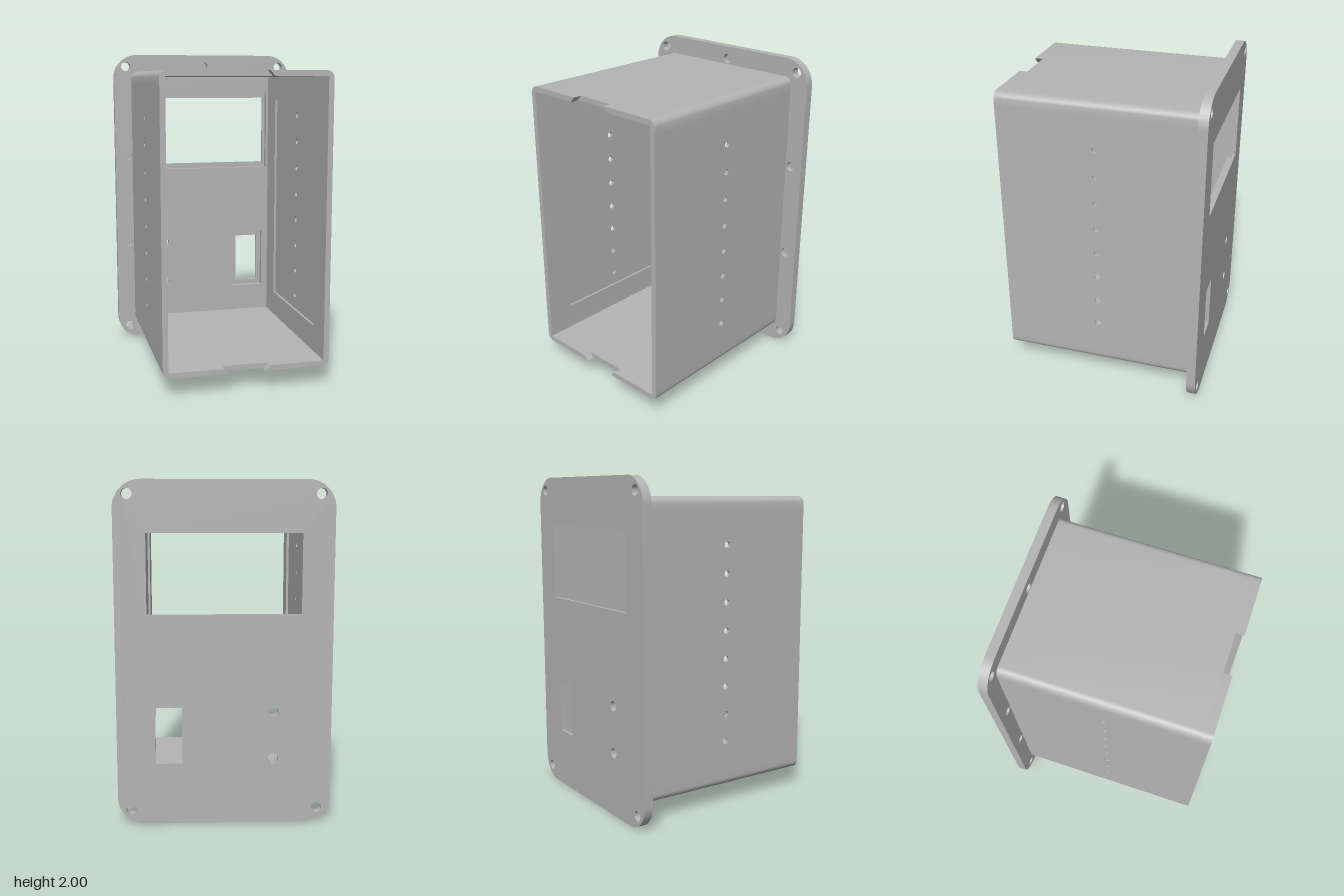
import * as THREE from 'three';
import { toCreasedNormals } from 'three/addons/utils/BufferGeometryUtils.js';

const BACK = -0.63, SEAT = -0.575, FRONT = 0.63;   // plate back, plate front, open rim
const HALF_W = 0.508, WALL = 0.033, BOTTOM = 0.12, TOP = 1.885;
const CORNER = 0.045, STRIP = 0.08;                // corner radius, height of the corner strips

const plastic = new THREE.MeshStandardMaterial({ color: 0xb4b4b4 });
plastic.name = 'grey plastic';

function rect(Type, x0, y0, x1, y1) {
  const p = new Type();
  p.moveTo(x0, y0).lineTo(x1, y0).lineTo(x1, y1).lineTo(x0, y1).closePath();
  return p;
}

function circle(x, y, r) {
  const p = new THREE.Path();
  p.absarc(x, y, r, 0, Math.PI * 2, true);
  return p;
}

function extrude(shape, depth) {
  const geo = new THREE.ExtrudeGeometry(shape, { depth, bevelEnabled: false, curveSegments: 12 });
  return toCreasedNormals(geo, 0.6);
}

function addMesh(group, name, geo) {
  const mesh = new THREE.Mesh(geo, plastic);
  mesh.name = name;
  group.add(mesh);
}

// One layer of the mounting plate: rounded rectangle with the given holes
function plateLayer(holes, z0, z1) {
  const w = 0.625, h = 2, r = 0.16, s = new THREE.Shape();
  s.absarc(w - r, r, r, -Math.PI / 2, 0);
  s.absarc(w - r, h - r, r, 0, Math.PI / 2);
  s.absarc(-w + r, h - r, r, Math.PI / 2, Math.PI);
  s.absarc(-w + r, r, r, Math.PI, Math.PI * 1.5);
  s.closePath();
  s.holes.push(...holes);
  return extrude(s, z1 - z0).translate(0, 0, z0);
}

// Half of the top or bottom wall with its rounded corner; the inner end can be slanted
function wallHalf(sx, top, endOuter, endInner, z0, z1) {
  const pts = [[endOuter, 0]];
  for (let i = 0; i <= 8; i++) {
    const a = (i / 8) * Math.PI / 2;
    pts.push([HALF_W - CORNER + CORNER * Math.sin(a), CORNER - CORNER * Math.cos(a)]);
  }
  pts.push([HALF_W, STRIP], [HALF_W - WALL, STRIP], [HALF_W - WALL, WALL], [endInner, WALL]);
  const shape = new THREE.Shape(pts.map(([x, d]) =>
    new THREE.Vector2(sx * x, top ? TOP - d : BOTTOM + d)));
  return extrude(shape, z1 - z0).translate(0, 0, z0);
}

// One layer of a side wall, drawn in z and y and extruded along x
function sideLayer(x0, x1, recessed) {
  const shape = rect(THREE.Shape, SEAT, BOTTOM + STRIP, FRONT, TOP - STRIP);
  if (recessed) {
    shape.holes.push(rect(THREE.Path, -0.4, 0.315, 0.45, 1.695));
  } else {
    for (let i = 0; i < 8; i++) shape.holes.push(circle(0.03, 0.405 + i * 1.2 / 7, 0.019));
  }
  return extrude(shape, x1 - x0).rotateY(-Math.PI / 2).translate(x1, 0, 0);
}

export function createModel() {
  const model = new THREE.Group();
  model.name = 'enclosure';

  // Mounting plate: outer layer with openings, inner layer with wider recesses and blind holes
  const plate = new THREE.Group();
  plate.name = 'mountingPlate';
  model.add(plate);
  const through = () => {
    const list = [circle(-0.285, 0.675, 0.031), circle(-0.285, 0.39, 0.031)];
    for (const x of [-0.545, 0.545]) for (const y of [0.085, 1.92]) list.push(circle(x, y, 0.031));
    return list;
  };
  const blind = [circle(0, 0.085, 0.031), circle(0, 1.92, 0.031)];
  for (const x of [-0.545, 0.545]) for (const y of [0.697, 1.31]) blind.push(circle(x, y, 0.031));
  const split = -0.61;
  addMesh(plate, 'plateOuterLayer', plateLayer([...through(),
    rect(THREE.Path, -0.442, 1.243, 0.442, 1.704),
    rect(THREE.Path, 0.245, 0.365, 0.4, 0.7)], BACK, split));
  addMesh(plate, 'plateInnerLayer', plateLayer([...through(), ...blind,
    rect(THREE.Path, -0.46, 1.208, 0.46, 1.742),
    rect(THREE.Path, 0.212, 0.333, 0.432, 0.737)], split, SEAT));

  // Top and bottom walls, with a dovetail notch in the front rim
  const body = new THREE.Group();
  body.name = 'boxBody';
  model.add(body);
  const notchBack = 0.58;
  for (const top of [true, false]) {
    const name = top ? 'topWall' : 'bottomWall';
    const notch = top ? 0.123 : 0.11;
    for (const sx of [-1, 1]) {
      addMesh(body, name, wallHalf(sx, top, 0, 0, SEAT, notchBack));
      addMesh(body, name + 'Rim', wallHalf(sx, top, notch, notch + 0.03, notchBack, FRONT));
    }
  }

  // Side walls: vent holes through the skin, shallow recess on the inside
  const inner = HALF_W - WALL, mid = inner + 0.015;
  addMesh(body, 'leftWallSkin', sideLayer(mid, HALF_W, false));
  addMesh(body, 'leftWallLining', sideLayer(inner, mid, true));
  addMesh(body, 'rightWallSkin', sideLayer(-HALF_W, -mid, false));
  addMesh(body, 'rightWallLining', sideLayer(-mid, -inner, true));

  return model;
}
